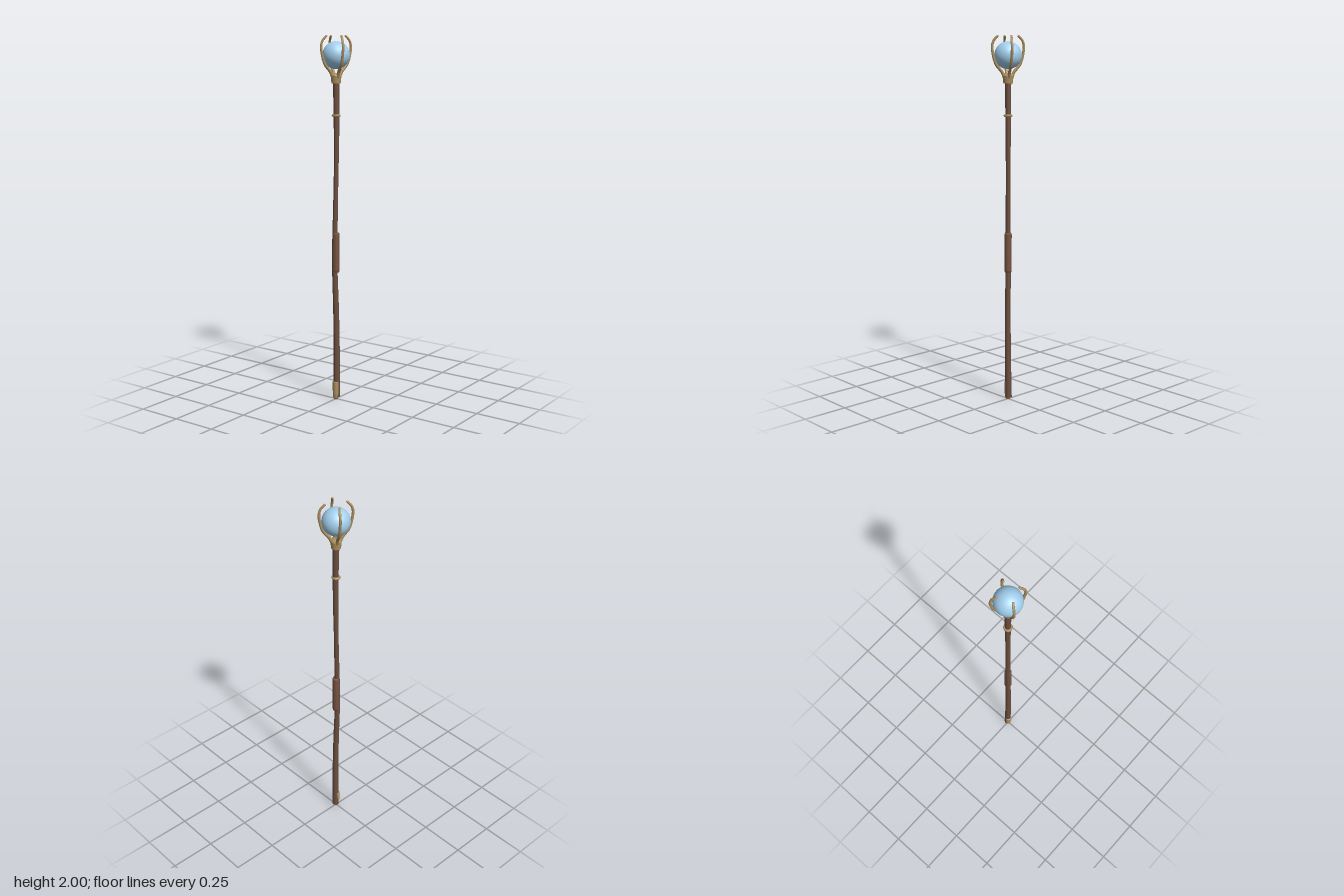
import * as THREE from 'three';

const WOOD = 0x6b4e3f, LEATHER = 0x765341, BRASS = 0xac8f60, GLASS = 0xa3d0ee;

function part(parent, name, geometry, color, y = 0) {
  const mesh = new THREE.Mesh(geometry, new THREE.MeshStandardMaterial({ color }));
  mesh.name = name;
  mesh.position.y = y;
  parent.add(mesh);
  return mesh;
}

const lathe = (points, sides) =>
  new THREE.LatheGeometry(points.map(([r, y]) => new THREE.Vector2(r, y)), sides);

// Round tube along a curve with a varying radius and closed ends
function taperedTube(points, radiusAt, segments, sides) {
  const curve = new THREE.CatmullRomCurve3(points.map(p => new THREE.Vector3(...p)));
  const geo = new THREE.TubeGeometry(curve, segments, 1, sides);
  const pos = geo.attributes.position, v = new THREE.Vector3();
  for (let i = 0; i < pos.count; i++) {
    const t = Math.floor(i / (sides + 1)) / segments;
    const c = curve.getPointAt(t);
    v.fromBufferAttribute(pos, i).sub(c).multiplyScalar(radiusAt(t)).add(c);
    pos.setXYZ(i, v.x, v.y, v.z);
  }
  geo.computeVertexNormals();
  return { geo, curve };
}

export function createModel() {
  const staff = new THREE.Group();
  staff.name = 'staff';

  // Gently bent wooden shaft, slimmest above the middle
  const path = [
    [0, 0.015, -0.004], [0.003, 0.25, -0.002], [0.001, 0.5, 0.001], [-0.006, 0.8, 0.005],
    [-0.002, 1.1, 0.002], [0.001, 1.4, -0.002], [0.001, 1.6, -0.002], [0, 1.78, 0],
  ];
  const shaftRadius = t => (t < 0.7
    ? THREE.MathUtils.lerp(0.0185, 0.0125, t / 0.7)
    : THREE.MathUtils.lerp(0.0125, 0.0175, (t - 0.7) / 0.3));
  part(staff, 'shaft', taperedTube(path, shaftRadius, 48, 12).geo, WOOD);
  const foot = part(staff, 'shaftEnd', new THREE.CircleGeometry(0.0185, 12), WOOD, 0.015);
  foot.rotation.x = Math.PI / 2;
  foot.position.z = -0.004;

  // Metal foot
  part(staff, 'ferrule', lathe([
    [0, 0.003], [0.011, 0.003], [0.015, 0.014], [0.0175, 0.035], [0.0185, 0.1], [0.016, 0.105], [0, 0.105],
  ], 16), BRASS).position.z = 0.002;

  // Hand grip
  part(staff, 'grip', lathe([
    [0, 0.727], [0.017, 0.727], [0.02, 0.737], [0.02, 0.935], [0.017, 0.945], [0, 0.945],
  ], 16), LEATHER);

  // Ring and collar
  const ring = part(staff, 'ring', new THREE.TorusGeometry(0.017, 0.007, 8, 24), BRASS, 1.58);
  ring.rotation.x = Math.PI / 2;
  part(staff, 'collar', lathe([
    [0, 1.75], [0.025, 1.75], [0.025, 1.75], [0.029, 1.79], [0.029, 1.79], [0.022, 1.803], [0, 1.803],
  ], 16), BRASS);

  part(staff, 'orb', new THREE.SphereGeometry(0.073, 32, 20), GLASS, 1.897);

  // Four claws around the orb, tips hooked inward
  const clawPath = [
    [0.018, 1.775, 0], [0.033, 1.81, 0], [0.065, 1.85, 0], [0.081, 1.9, 0],
    [0.086, 1.945, 0], [0.077, 1.975, 0], [0.058, 1.996, -0.004],
  ];
  const clawRadius = t => THREE.MathUtils.lerp(0.009, 0.0062, t);
  const { geo: clawGeo, curve } = taperedTube(clawPath, clawRadius, 24, 8);
  const tip = curve.getPointAt(1);
  for (let i = 0; i < 4; i++) {
    const claw = new THREE.Group();
    claw.name = 'claw' + (i + 1);
    claw.rotation.y = -THREE.MathUtils.degToRad(29 + i * 90);
    part(claw, 'prong', clawGeo, BRASS);
    part(claw, 'prongTip', new THREE.SphereGeometry(0.0062, 8, 6), BRASS).position.copy(tip);
    staff.add(claw);
  }
  return staff;
}
